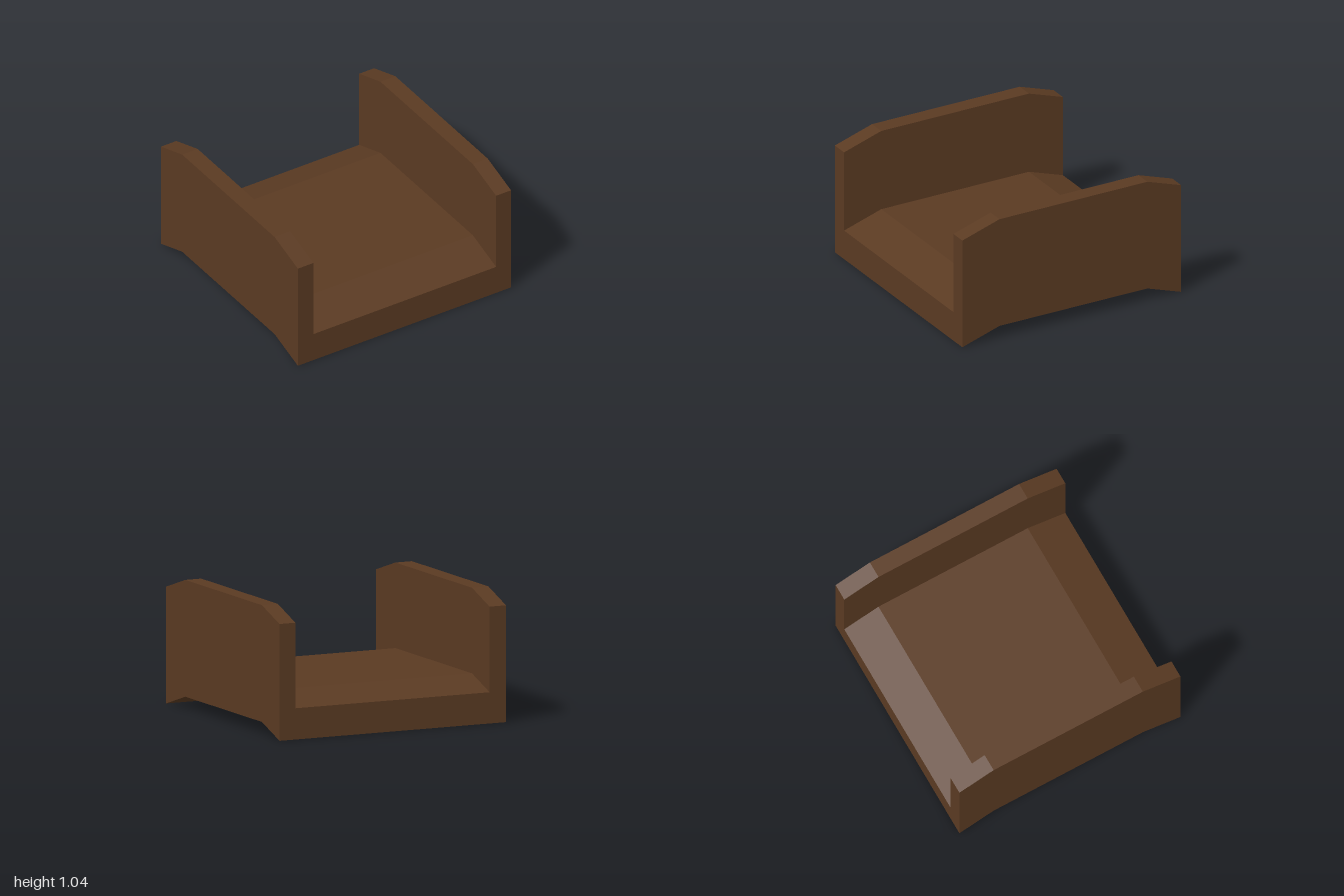
import * as THREE from 'three';

export function createModel() {
  const group = new THREE.Group();
  group.name = 'bridge';
  const wood = new THREE.MeshStandardMaterial({ color: 0x5a3a22 });
  wood.name = 'brown wood';

  // U-shaped cross-section: deck with a parapet on each side
  const section = new THREE.Shape([
    [-1, 0], [1, 0], [1, 0.935], [0.86, 0.935],
    [0.86, 0.25], [-0.855, 0.25], [-0.855, 0.935], [-1, 0.935],
  ].map(([x, y]) => new THREE.Vector2(x, y)));

  // Stations from back to front: z position and lift of the section
  const stations = [[-1, 0], [-0.69, 0.105], [0.66, 0.105], [1, 0]];
  const geometry = new THREE.ExtrudeGeometry(section, {
    depth: 3, steps: 3, bevelEnabled: false,
  });

  // Move each extrusion step to its station, so the span rises in the middle
  const pos = geometry.attributes.position;
  for (let i = 0; i < pos.count; i++) {
    const [z, lift] = stations[Math.round(pos.getZ(i))];
    pos.setY(i, pos.getY(i) + lift);
    pos.setZ(i, z);
  }
  geometry.computeVertexNormals();

  const span = new THREE.Mesh(geometry, wood);
  span.name = 'deckAndParapets';
  group.add(span);
  return group;
}
